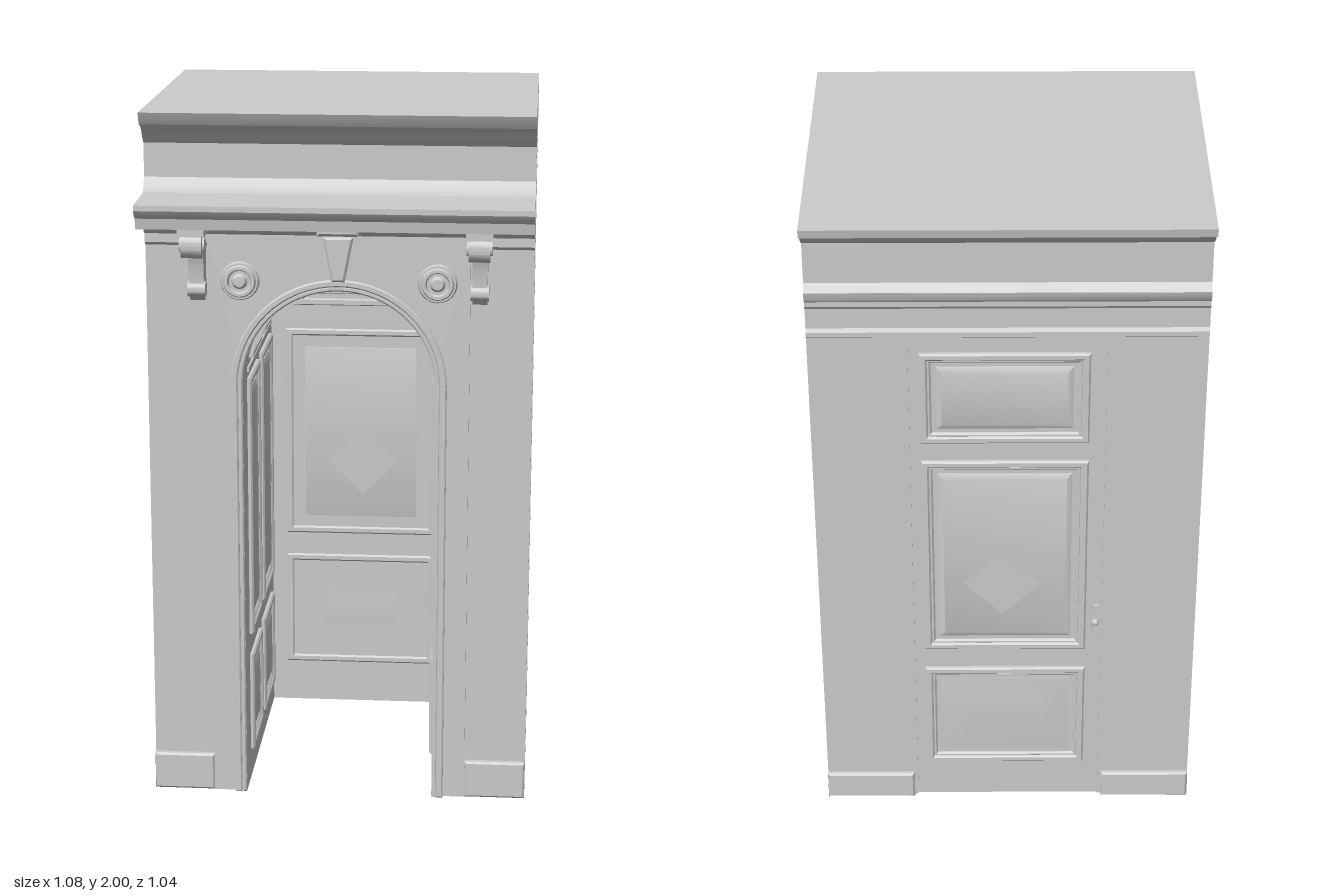
import * as THREE from 'three';
import { toCreasedNormals } from 'three/addons/utils/BufferGeometryUtils.js';

const material = new THREE.MeshStandardMaterial({ color: 0xcccccc, side: THREE.DoubleSide });
const HALF = 0.54, R = 0.27, SPRING = 1.23;

function add(parent, name, geometry, x = 0, y = 0, z = 0) {
  const mesh = new THREE.Mesh(toCreasedNormals(geometry, 0.5), material);
  mesh.name = name;
  mesh.position.set(x, y, z);
  parent.add(mesh);
  return mesh;
}
const poly = (pts) => new THREE.Shape(pts.map(([a, b]) => new THREE.Vector2(a, b)));
const rect = (w, h) => poly([[-w / 2, -h / 2], [w / 2, -h / 2], [w / 2, h / 2], [-w / 2, h / 2]]);
const box = (w, h, d) => new THREE.BoxGeometry(w, h, d);

// Solid of a shape, centred on z = 0, with chamfers kept inside the outline
function solid(shape, depth, chamfer = 0, bevel = chamfer) {
  const core = depth - 2 * chamfer;
  const g = new THREE.ExtrudeGeometry(shape, {
    depth: core, curveSegments: 24, bevelEnabled: chamfer > 0, bevelThickness: chamfer,
    bevelSize: bevel, bevelOffset: -bevel, bevelSegments: 1,
  });
  return g.translate(0, 0, -core / 2);
}

// Open sheet: a (z, y) polyline swept along x
function sheet(pts, length) {
  const v = [], h = length / 2;
  for (let i = 0; i + 1 < pts.length; i++) {
    const [z0, y0] = pts[i], [z1, y1] = pts[i + 1];
    v.push(-h, y0, z0, h, y0, z0, h, y1, z1, -h, y0, z0, h, y1, z1, -h, y1, z1);
  }
  const g = new THREE.BufferGeometry();
  g.setAttribute('position', new THREE.Float32BufferAttribute(v, 3));
  g.computeVertexNormals();
  return g;
}

// Arch outline from the right foot over the top to the left foot
function arch(r, foot = 0) {
  const pts = [[r, foot]];
  for (let i = 0; i <= 32; i++) {
    const a = (i / 32) * Math.PI;
    pts.push([r * Math.cos(a), SPRING + r * Math.sin(a)]);
  }
  pts.push([-r, foot]);
  return pts;
}

// Part of a disc above a level line
function segment(r, level) {
  const a = Math.asin((level - SPRING) / r), pts = [];
  for (let i = 0; i <= 24; i++) {
    const t = a + (i / 24) * (Math.PI - 2 * a);
    pts.push([r * Math.cos(t), SPRING + r * Math.sin(t)]);
  }
  return poly(pts);
}

// Curved slab of the vault between two angles (degrees)
function sector(r0, r1, d0, d1, depth) {
  const a0 = THREE.MathUtils.degToRad(d0), a1 = THREE.MathUtils.degToRad(d1);
  const s = new THREE.Shape();
  s.absarc(0, 0, r1, a0, a1, false);
  s.absarc(0, 0, r0, a1, a0, true);
  return solid(s, depth);
}

// Moulded panel showing on both faces of a thin wall
function panel(name, w, h, slope = 0.015) {
  const g = new THREE.Group();
  g.name = name;
  for (const [inset, width, depth] of [[0, 0.022, 0.026], [0.018, 0.014, 0.014]]) {
    const frame = rect(w - 2 * inset, h - 2 * inset);
    frame.holes.push(rect(w - 2 * inset - 2 * width, h - 2 * inset - 2 * width));
    add(g, 'panelMoulding', solid(frame, depth, 0.005));
  }
  add(g, 'panelField', solid(rect(w - 0.09, h - 0.09), 0.018, 0.007, slope));
  return g;
}

export function createModel() {
  const model = new THREE.Group();
  model.name = 'doorwayPorch';

  // Hollow entablature and roof, one profile from front to back
  const profile = [
    [0.32, 1.62], [0.335, 1.63], [0.335, 1.655], [0.35, 1.665], [0.37, 1.69], [0.49, 1.695],
    [0.495, 1.725], [0.51, 1.735], [0.52, 1.75], [0.52, 1.765], [0.34, 1.77], [0.335, 1.785],
    [0.318, 1.81], [0.318, 1.905], [0.335, 1.92], [0.345, 1.935], [0.365, 1.955], [0.39, 1.965],
    [0.4, 1.98], [0.41, 2], [-0.52, 2], [-0.515, 1.975], [-0.48, 1.96], [-0.465, 1.94],
    [-0.445, 1.925], [-0.425, 1.91], [-0.425, 1.79], [-0.435, 1.78], [-0.445, 1.77],
    [-0.44, 1.745], [-0.432, 1.735], [-0.432, 1.72], [-0.425, 1.71], [-0.425, 1.65],
    [-0.432, 1.64], [-0.432, 1.625], [-0.425, 1.62],
  ];
  add(model, 'entablatureAndRoof', sheet(profile, 2 * HALF));

  // End frames closing the hollow walls at both open sides
  const outline = [[0.335, 0], [0.335, 0.1], [0.32, 0.11], ...profile,
    [-0.425, 0.09], [-0.44, 0.08], [-0.44, 0]];
  const frame = poly(outline);
  frame.holes.push(poly([[-0.34, 0.08], [0.24, 0.08], [0.24, 1.92], [-0.34, 1.92]]));
  for (const s of [-1, 1]) {
    add(model, 'endFrame', new THREE.ShapeGeometry(frame).rotateY(s * Math.PI / 2).scale(1, 1, s > 0 ? -1 : 1), s * HALF);
  }

  // Front wall with the arched opening
  const front = poly([[-0.365, 0], [-0.365, 1.64], [0.365, 1.64], [0.365, 0], ...arch(R)]);
  add(model, 'archedFrontWall', solid(front, 0.015), 0, 0, 0.3275);
  for (const [r0, r1, z] of [[R, 0.285, 0.339], [0.283, 0.303, 0.343]]) {
    const band = poly([...arch(r1), ...arch(r0).reverse()]);
    add(model, 'archMoulding', solid(band, 0.014, 0.004), 0, 0, z);
  }

  // Passage lining and vault
  add(model, 'passageLining', sheet(arch(R), 0.745).rotateY(Math.PI / 2), 0, 0, -0.045);

  // Back wall with the door recess
  const back = poly([[-HALF, 0], [-HALF, 1.63], [HALF, 1.63], [HALF, 0],
    [R, 0], [R, 1.6], [-R, 1.6], [-R, 0]]);
  add(model, 'backWall', solid(back, 0.012), 0, 0, -0.419);

  for (const s of [-1, 1]) {
    // Piers, plinths and floor strips
    add(model, 'frontPier', new THREE.PlaneGeometry(0.175, 1.62), s * 0.4525, 0.81, 0.32);
    add(model, 'frontPlinth', solid(rect(0.175, 0.11), 0.03, 0.006), s * 0.4525, 0.055, 0.323);
    add(model, 'backPlinth', solid(rect(0.26, 0.09), 0.03, 0.006), s * 0.41, 0.045, -0.425);
    add(model, 'floorStrip', new THREE.PlaneGeometry(0.27, 0.745).rotateX(-Math.PI / 2), s * 0.405, 0.002, -0.05);

    // Panelled passage sides
    for (const [zc, w] of [[0.118, 0.235], [-0.205, 0.265]]) {
      for (const [y0, y1] of [[0.09, 0.385], [0.45, 1.22]]) {
        const p = panel('jambPanel', w, y1 - y0);
        p.rotation.y = s * Math.PI / 2;
        p.position.set(s * R, (y0 + y1) / 2, zc);
        model.add(p);
      }
    }
    add(model, 'springBand', box(0.014, 0.014, 0.58), s * R, 1.247, -0.05);

    // Round ornaments above the arch
    const profilePts = [[0, 0.02], [0.015, 0.019], [0.022, 0.008], [0.03, 0.008], [0.034, 0.018],
      [0.042, 0.018], [0.046, 0.01], [0.051, 0.01], [0.055, 0], [0.05, -0.02], [0, -0.02]];
    const rosette = new THREE.LatheGeometry(profilePts.map(([a, b]) => new THREE.Vector2(a, b)), 28);
    add(model, 'rosette', rosette.rotateX(Math.PI / 2), s * 0.275, 1.525, 0.336);

    // Scrolled brackets under the cornice
    const bracket = new THREE.Group();
    bracket.name = 'bracket';
    bracket.position.x = s * 0.392;
    model.add(bracket);
    const body = new THREE.Shape();
    body.moveTo(0.315, 1.69);
    body.lineTo(0.47, 1.69);
    body.lineTo(0.46, 1.665);
    body.bezierCurveTo(0.4, 1.66, 0.37, 1.61, 0.37, 1.5);
    body.lineTo(0.345, 1.47);
    body.lineTo(0.315, 1.5);
    add(bracket, 'bracketBody', solid(body, 0.042).rotateY(-Math.PI / 2));
    const roll = (r, w, y, z) => add(bracket, 'scroll', new THREE.CylinderGeometry(r, r, w, 24).rotateZ(Math.PI / 2), 0, y, z);
    roll(0.038, 0.058, 1.646, 0.44);
    roll(0.02, 0.07, 1.646, 0.44);
    roll(0.022, 0.05, 1.505, 0.357);
    add(bracket, 'bracketCap', box(0.074, 0.022, 0.15), 0, 1.684, 0.405);
  }

  // Curved vault panels
  for (const [zc, d] of [[0.118, 0.235], [-0.205, 0.265]]) {
    for (const [a0, a1] of [[11, 62], [67, 113], [118, 169]]) {
      const g = new THREE.Group();
      g.name = 'vaultPanel';
      g.position.set(0, SPRING, zc);
      model.add(g);
      const r0 = R - 0.012, r1 = R + 0.012;
      for (const e of [-1, 1]) add(g, 'vaultRib', sector(r0, r1, a0, a1, 0.02), 0, 0, e * (d / 2 - 0.01));
      add(g, 'vaultBar', sector(r0, r1, a0, a0 + 4, d));
      add(g, 'vaultBar', sector(r0, r1, a1 - 4, a1, d));
      add(g, 'vaultField', sector(R - 0.008, R + 0.008, a0 + 9, a1 - 9, d - 0.09));
    }
  }

  // Keystone
  const key = poly([[-0.018, 1.53], [0.018, 1.53], [0.042, 1.655], [-0.042, 1.655]]);
  add(model, 'keystone', solid(key, 0.04, 0.006), 0, 0, 0.345);
  add(model, 'keystoneCap', solid(rect(0.115, 0.03), 0.06, 0.008), 0, 1.675, 0.35);

  // Door, panelled on both faces
  const door = new THREE.Group();
  door.name = 'door';
  door.position.z = -0.415;
  model.add(door);
  add(door, 'doorLeaf', box(2 * R, 1.6, 0.008), 0, 0.8, 0);
  for (const [y0, y1, slope] of [[0.13, 0.49, 0.09], [0.56, 1.22, 0.015], [1.28, 1.57, 0.015]]) {
    const p = panel('doorPanel', 0.465, y1 - y0, slope);
    p.position.set(0.008, (y0 + y1) / 2, -0.004);
    door.add(p);
  }
  const diamond = add(door, 'diamond', box(0.155, 0.155, 0.022), 0.015, 0.8, -0.004);
  diamond.rotation.z = Math.PI / 4;
  add(door, 'handlePlate', box(0.018, 0.13, 0.012), -0.252, 0.65, -0.008);
  add(door, 'handle', new THREE.SphereGeometry(0.011, 14, 10), -0.252, 0.66, -0.016);

  // Lunette on the inner face of the door
  add(door, 'lunettePlate', solid(segment(R, 1.25), 0.012), 0, 0, 0.014);
  for (const [r0, r1, y0, y1, d] of [[0.188, 0.212, 1.32, 1.3, 0.03], [0.16, 0.172, 1.345, 1.335, 0.022]]) {
    const ring = segment(r1, y1);
    ring.holes.push(segment(r0, y0));
    add(door, 'lunetteMoulding', solid(ring, d, 0.004), 0, 0, 0.02);
  }
  return model;
}
